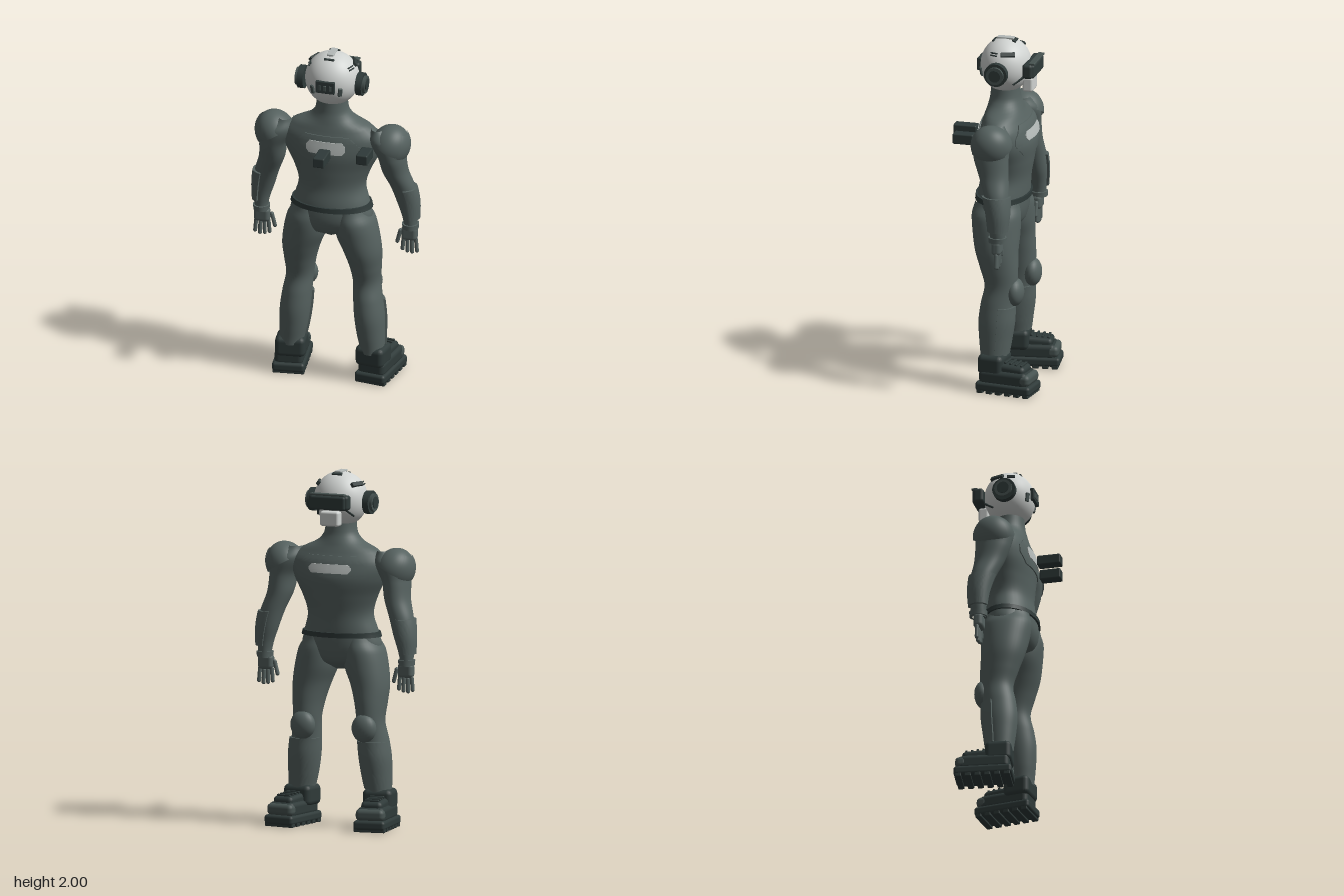
import * as THREE from 'three';
import { toCreasedNormals } from 'three/addons/utils/BufferGeometryUtils.js';
import { RoundedBoxGeometry } from 'three/addons/geometries/RoundedBoxGeometry.js';

const mat = (name, color) => Object.assign(new THREE.MeshStandardMaterial({ color }), { name });

// Cross-section rows: [y, centreX, centreZ, radiusX, radiusZ], top to bottom
const TORSO = [
  [1.72, 0, -0.015, 0.088, 0.08], [1.65, 0, -0.016, 0.098, 0.087], [1.605, 0, -0.018, 0.14, 0.1],
  [1.57, 0, -0.02, 0.22, 0.112], [1.5, 0, -0.026, 0.29, 0.138], [1.41, 0, -0.03, 0.275, 0.156],
  [1.3, 0, -0.027, 0.222, 0.148], [1.2, 0, -0.02, 0.193, 0.138], [1.1, 0, -0.008, 0.218, 0.142],
  [1.0, 0, -0.002, 0.235, 0.138], [0.93, 0, -0.005, 0.16, 0.112], [0.885, 0, -0.01, 0.03, 0.04],
];
const LEG = [
  [1.07, 0.12, 0, 0.09, 0.125], [1.0, 0.137, 0, 0.114, 0.14], [0.9, 0.153, -0.005, 0.122, 0.135],
  [0.8, 0.178, -0.013, 0.108, 0.123], [0.7, 0.19, -0.03, 0.09, 0.108], [0.6, 0.195, -0.042, 0.078, 0.093],
  [0.5, 0.206, -0.025, 0.083, 0.094], [0.4, 0.216, -0.018, 0.086, 0.098], [0.3, 0.224, -0.014, 0.08, 0.088],
  [0.18, 0.235, -0.012, 0.068, 0.074],
];
const ARM = [
  [1.565, 0.27, -0.02, 0.04, 0.06], [1.5, 0.315, -0.022, 0.1, 0.105], [1.4, 0.345, -0.026, 0.079, 0.1],
  [1.3, 0.36, -0.045, 0.073, 0.085], [1.2, 0.395, -0.07, 0.069, 0.07], [1.1, 0.418, -0.085, 0.06, 0.058],
  [1.0, 0.433, -0.088, 0.043, 0.046], [0.93, 0.435, -0.088, 0.035, 0.04],
];

// Smoothly interpolated cross-section at height y
function section(rows, y) {
  let k = 0;
  while (k < rows.length - 2 && y < rows[k + 1][0]) k++;
  const a = rows[Math.max(k - 1, 0)], b = rows[k], c = rows[k + 1], d = rows[Math.min(k + 2, rows.length - 1)];
  const t = THREE.MathUtils.clamp((y - b[0]) / (c[0] - b[0]), 0, 1);
  return b.map((v, n) => {
    const m0 = (c[n] - a[n]) / 2, m1 = (d[n] - v) / 2, e = c[n] - v;
    return v + t * (m0 + t * (3 * e - 2 * m0 - m1 + t * (m0 + m1 - 2 * e)));
  });
}

function gridGeometry(cols, rows, closed, point) {
  const pos = [], index = [];
  for (let j = 0; j < rows; j++) for (let i = 0; i < cols; i++) pos.push(...point(i, j));
  for (let j = 0; j < rows - 1; j++) {
    for (let i = 0; i < (closed ? cols : cols - 1); i++) {
      const a = j * cols + i, b = j * cols + (i + 1) % cols;
      index.push(a, b, b + cols, a, b + cols, a + cols);
    }
  }
  const g = new THREE.BufferGeometry();
  g.setAttribute('position', new THREE.Float32BufferAttribute(pos, 3));
  g.setIndex(index);
  g.computeVertexNormals();
  return g;
}

// Smooth closed body lofted through the rows
function loft(rows) {
  const y0 = rows[rows.length - 1][0], y1 = rows[0][0], n = 60, seg = 40;
  return gridGeometry(seg, n + 1, true, (i, j) => {
    const y = y0 + (y1 - y0) * j / n, a = i / seg * Math.PI * 2;
    const [, cx, cz, rx, rz] = section(rows, y);
    return [cx + rx * Math.sin(a), y, cz + rz * Math.cos(a)];
  });
}

// Raised plate that follows a body; half(rx, v) gives its half-angle
function shell(rows, y0, y1, mid, half, off) {
  const n = 20, m = 28;
  const g = gridGeometry(m + 3, n + 3, false, (i, j) => {
    const rim = i === 0 || j === 0 || i === m + 2 || j === n + 2;
    const v = THREE.MathUtils.clamp((j - 1) / n, 0, 1), u = THREE.MathUtils.clamp((i - 1) / m, 0, 1);
    const y = y0 + (y1 - y0) * v, o = rim ? -0.005 : off;
    const [, cx, cz, rx, rz] = section(rows, y);
    const a = mid + (u * 2 - 1) * half(rx, v);
    return [cx + (rx + o) * Math.sin(a), y, cz + (rz + o) * Math.cos(a)];
  });
  return toCreasedNormals(g, 0.7);
}
// Chamfered panel outline of half-width w
const panel = (w, cut, edge) => (rx, v) =>
  Math.asin(Math.min(0.95, (w - cut * Math.max(0, 1 - Math.min(v, 1 - v) / edge)) / rx));

export function createModel() {
  const suit = mat('suit grey', 0x566260), dark = mat('dark rubber', 0x2f3a39);
  const white = mat('helmet white', 0xd0d3d1), pale = mat('pale plate', 0xb4bab8);
  const trim = mat('trim grey', 0x465250);
  const pad = mat('pad grey', 0x566260);
  pad.side = THREE.DoubleSide;

  const root = new THREE.Group();
  root.name = 'armouredFigure';
  const add = (parent, name, geo, material, x = 0, y = 0, z = 0) => {
    const m = new THREE.Mesh(geo, material);
    m.name = name;
    m.position.set(x, y, z);
    parent.add(m);
    return m;
  };
  const box = (w, h, d, r = 0.008) => new RoundedBoxGeometry(w, h, d, 2, Math.min(r, w / 2.1, h / 2.1, d / 2.1));

  // Torso, belt and raised panels
  add(root, 'torso', loft(TORSO), suit);
  add(root, 'belt', shell(TORSO, 1.072, 1.1, 0, () => Math.PI, 0.012), dark);
  add(root, 'backPanel', shell(TORSO, 1.38, 1.53, 0, panel(0.185, 0.06, 0.35), 0.006), suit);
  add(root, 'backPlate', shell(TORSO, 1.43, 1.5, 0, panel(0.11, 0.018, 0.3), 0.011), pale);
  add(root, 'chestPanel', shell(TORSO, 1.36, 1.535, Math.PI, panel(0.215, 0.07, 0.4), 0.007), suit);
  add(root, 'chestPlate', shell(TORSO, 1.44, 1.49, Math.PI, panel(0.125, 0.018, 0.4), 0.013), pale);
  add(root, 'backModule', box(0.067, 0.058, 0.135), dark, 0.005, 1.442, 0.212);
  add(root, 'shoulderModule', box(0.067, 0.06, 0.12), dark, 0.24, 1.465, 0.16);

  // Helmet
  const head = new THREE.Group();
  head.name = 'helmet';
  head.position.set(0, 1.841, -0.018);
  root.add(head);
  const R = [0.154, 0.156, 0.143];
  add(head, 'helmetShell', new THREE.SphereGeometry(1, 48, 32).scale(...R), white);
  add(head, 'visorFrame', box(0.242, 0.085, 0.06, 0.018), dark, 0, 0.0, -0.153);
  add(head, 'visor', box(0.215, 0.08, 0.03, 0.014), dark, 0, -0.002, -0.176);
  add(head, 'visorBrow', box(0.212, 0.012, 0.035, 0.004), trim, 0, 0.045, -0.177);
  add(head, 'mouthGuard', box(0.115, 0.085, 0.06, 0.014), white, 0, -0.095, -0.138);

  // Fitting placed on the helmet along a direction, turned by roll
  const fit = (name, material, w, h, d, dx, dy, dz, roll = 0) => {
    const dir = new THREE.Vector3(dx, dy, dz).normalize();
    const k = 1 / Math.hypot(dir.x / R[0], dir.y / R[1], dir.z / R[2]);
    const m = new THREE.Mesh(box(w, h, d, 0.003), material);
    m.name = name;
    m.position.copy(dir).multiplyScalar(k);
    m.lookAt(dir.clone().multiplyScalar(2));
    m.rotateZ(roll);
    head.add(m);
  };
  fit('crownStrip', pale, 0.038, 0.095, 0.012, 0, 1, 0);
  fit('crownFrontTrim', dark, 0.06, 0.022, 0.012, 0, 1, -0.36);
  fit('crownRearTrim', dark, 0.06, 0.012, 0.012, 0, 1, 0.48);
  fit('rearVent', dark, 0.11, 0.07, 0.022, 0, 0.02, 1);
  for (const x of [-0.22, 0, 0.22]) fit('ventSlot', trim, 0.018, 0.032, 0.032, x, 0.0, 1);
  for (const s of [1, -1]) {
    fit('rearTab', trim, 0.024, 0.05, 0.018, s * 0.56, -0.2, 0.85);
    fit('sideBlock', dark, 0.08, 0.026, 0.022, s * 0.78, 0.62, -0.28);
    fit('sideSlotUpper', dark, 0.045, 0.008, 0.012, s * 0.78, 0.64, 0.25);
    fit('sideSlotLower', dark, 0.045, 0.008, 0.012, s * 0.8, 0.54, 0.25);
    fit('cheekSlot', dark, 0.075, 0.011, 0.012, s * 0.64, -0.42, -0.64, s * 0.65);
    // Ear cups
    for (const [name, r, w, x, m] of [['earRing', 0.066, 0.036, 0.17, dark], ['earCap', 0.05, 0.024, 0.192, trim], ['earHub', 0.034, 0.01, 0.203, dark]]) {
      add(head, name, new THREE.CylinderGeometry(r, r, w, 24), m, s * x, -0.012, 0.012).rotation.z = Math.PI / 2;
    }
  }

  // Limbs, built on the left and mirrored
  for (const s of [1, -1]) {
    const side = new THREE.Group();
    side.name = s > 0 ? 'leftLimbs' : 'rightLimbs';
    side.scale.x = s;
    root.add(side);

    // Arm
    add(side, 'arm', loft(ARM), suit);
    const cap = add(side, 'shoulderPad', new THREE.SphereGeometry(1, 32, 16, 0, Math.PI * 2, 0, Math.PI * 0.5).scale(0.108, 0.125, 0.118), pad, 0.332, 1.462, -0.025);
    cap.rotation.z = -0.5;
    const outer = add(side, 'shoulderPlate', new THREE.SphereGeometry(1, 24, 16, -0.9, 1.8, 0.5, 1.12).scale(-0.112, 0.128, 0.122), pad, 0.334, 1.462, -0.025);
    outer.rotation.z = -0.5;
    outer.geometry = new THREE.SphereGeometry(1, 24, 16, Math.PI - 0.9, 1.8, 0.45, 1.15).scale(0.113, 0.129, 0.123);
    add(side, 'forearmGuard', shell(ARM, 1.0, 1.195, Math.PI * 0.56, () => 1.5, 0.013), suit);
    add(side, 'cuff', shell(ARM, 0.935, 0.965, 0, () => Math.PI, 0.01), suit);

    // Hand
    add(side, 'palm', box(0.092, 0.085, 0.055, 0.022), suit, 0.43, 0.905, -0.085);
    [0.835, 0.825, 0.822, 0.832].forEach((y, i) => {
      const f = add(side, 'finger', new THREE.CapsuleGeometry(0.0115, 0.07, 4, 10), suit, 0.391 + i * 0.026, y, -0.088);
      f.rotation.z = (i - 1.5) * 0.06;
    });
    add(side, 'thumb', new THREE.CapsuleGeometry(0.0115, 0.07, 4, 10), suit, 0.366, 0.875, -0.09).rotation.z = -0.25;

    // Leg
    add(side, 'leg', loft(LEG), suit);
    add(side, 'kneePad', new THREE.SphereGeometry(1, 24, 16).scale(0.073, 0.08, 0.05), suit, 0.188, 0.567, -0.122);
    add(side, 'shinGuard', shell(LEG, 0.22, 0.488, Math.PI, () => 1.3, 0.012), suit);

    // Boot, toe turned outward
    const boot = new THREE.Group();
    boot.name = 'boot';
    boot.position.set(0.258, 0, -0.1);
    boot.rotation.y = -0.13;
    side.add(boot);
    add(boot, 'sole', box(0.185, 0.054, 0.33, 0.018), dark, 0, 0.039, 0);
    for (let i = 0; i < 6; i++) add(boot, 'tread', box(0.18, 0.025, 0.035, 0.005), dark, 0, 0.0125, -0.138 + i * 0.055);
    add(boot, 'bootFoot', box(0.162, 0.09, 0.29, 0.028), dark, 0, 0.092, 0.005);
    add(boot, 'toeCap', box(0.166, 0.066, 0.07, 0.025), trim, 0, 0.096, -0.122);
    const instep = add(boot, 'instep', box(0.125, 0.07, 0.19, 0.025), dark, 0, 0.138, -0.025);
    instep.rotation.x = -0.06;
    for (let i = 0; i < 4; i++) add(boot, 'lace', box(0.085, 0.012, 0.014, 0.004), dark, 0, 0.172 + i * 0.003, -0.095 + i * 0.032);
    add(boot, 'bootShaft', box(0.172, 0.12, 0.15, 0.03), dark, -0.008, 0.16, 0.085);
  }
  return root;
}
